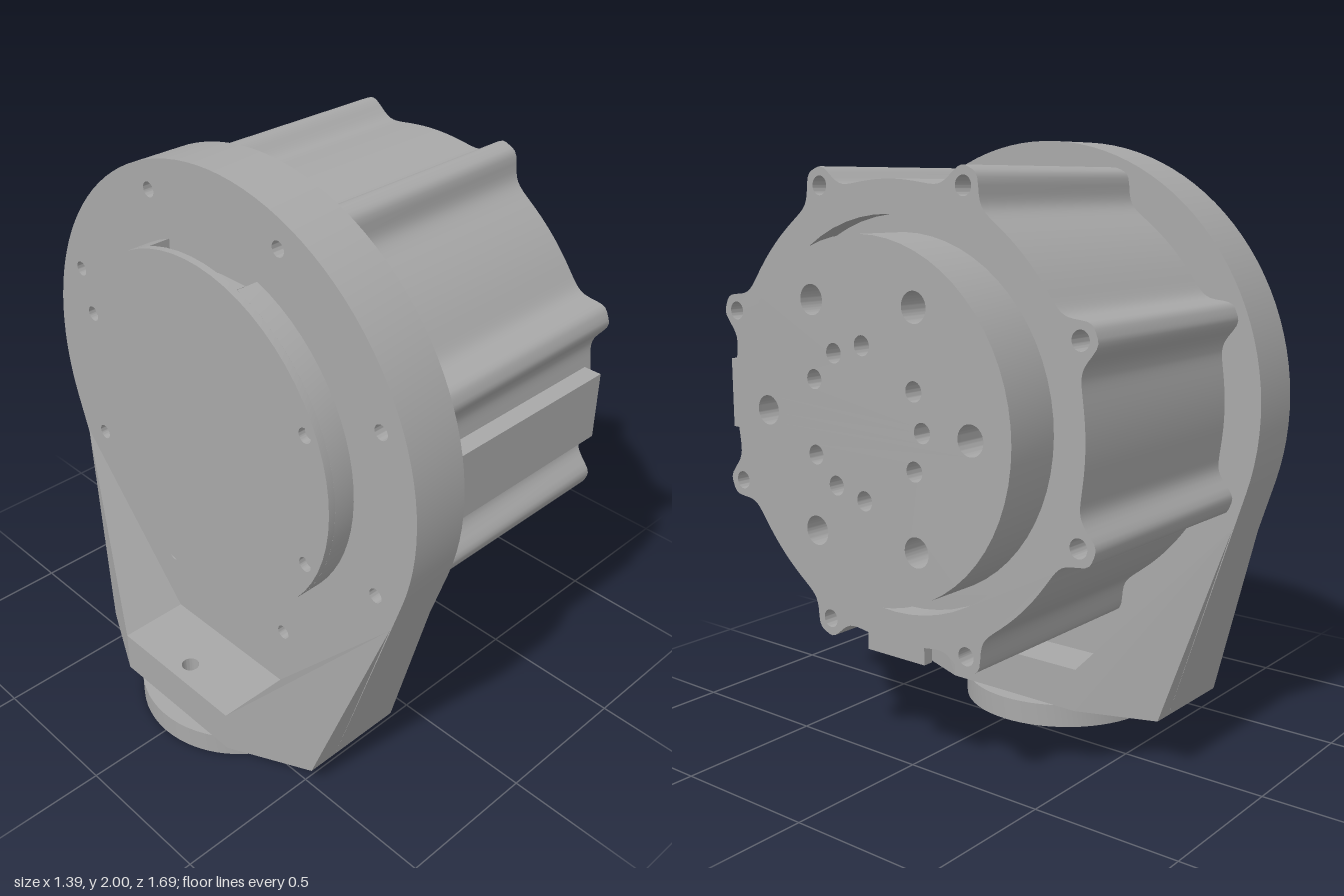
import * as THREE from 'three';
import { toCreasedNormals } from 'three/addons/utils/BufferGeometryUtils.js';
import { ConvexGeometry } from 'three/addons/geometries/ConvexGeometry.js';

const AXIS_Y = 1.155; // height of the motor axis, which runs along x
const rad = THREE.MathUtils.degToRad;

const circlePath = (x, y, r) => new THREE.Path().absarc(x, y, r, 0, Math.PI * 2, true);
function disc(r) {
  const s = new THREE.Shape();
  s.absarc(0, 0, r, 0, Math.PI * 2, false);
  return s;
}
// Ring of holes: angles in degrees
function addHoles(shape, ringRadius, r, angles) {
  for (const a of angles) {
    shape.holes.push(circlePath(ringRadius * Math.cos(rad(a)), ringRadius * Math.sin(rad(a)), r));
  }
  return shape;
}
const every = (n, start) => Array.from({ length: n }, (_, i) => start + (i * 360) / n);

export function createModel() {
  const model = new THREE.Group();
  const grey = new THREE.MeshStandardMaterial({ color: 0xa8a8a8 });
  grey.name = 'metal grey';

  const add = (name, geometry) => {
    const mesh = new THREE.Mesh(geometry, grey);
    mesh.name = name;
    model.add(mesh);
    return mesh;
  };
  const extrude = (shape, depth) => toCreasedNormals(
    new THREE.ExtrudeGeometry(shape, { depth, bevelEnabled: false, curveSegments: 32 }), 0.5);
  // Extrude along the motor axis from x0 to x1 (shape x becomes -z)
  const addAxial = (name, shape, x0, x1) => {
    const g = extrude(shape, x1 - x0);
    g.rotateY(Math.PI / 2);
    g.translate(x0, AXIS_Y, 0);
    return add(name, g);
  };
  // Extrude upwards from y0 to y1 (shape y becomes -z)
  const addUpright = (name, shape, x, y0, y1) => {
    const g = extrude(shape, y1 - y0);
    g.rotateX(-Math.PI / 2);
    g.translate(x, y0, 0);
    return add(name, g);
  };
  const addBox = (name, x0, x1, y0, y1, z0, z1) => {
    const g = new THREE.BoxGeometry(x1 - x0, y1 - y0, z1 - z0);
    g.translate((x0 + x1) / 2, (y0 + y1) / 2, (z0 + z1) / 2);
    return add(name, g);
  };

  const bossAngles = every(8, 22.5);

  // Mounting plate: round head with tangent sides running down to the foot
  const plate = new THREE.Shape();
  plate.moveTo(-0.54, 0.08 - AXIS_Y);
  plate.lineTo(0.54, 0.08 - AXIS_Y);
  plate.absarc(0, 0, 0.845, rad(-17.9), rad(197.9), false);
  plate.closePath();
  addHoles(plate, 0.755, 0.025, bossAngles);
  addAxial('mountingPlate', plate, -0.4, -0.2);

  // Foot block between the gussets, with a through hole
  const block = new THREE.Shape();
  block.moveTo(-0.645, -0.27);
  block.lineTo(-0.03, -0.27);
  block.lineTo(-0.03, 0.27);
  block.lineTo(-0.645, 0.27);
  block.closePath();
  block.holes.push(circlePath(-0.575, 0, 0.03));
  addUpright('footBlock', block, 0, 0.08, 0.23);

  // Four sloping gussets from the plate out to the foot
  const gussets = [
    { plateX: -0.4, cornerX: -0.51, endX: -0.645, name: 'backGusset' },
    { plateX: -0.2, cornerX: -0.13, endX: -0.03, name: 'frontGusset' },
  ];
  for (const { plateX, cornerX, endX, name } of gussets) {
    for (const s of [1, -1]) {
      add(name, new ConvexGeometry([
        [plateX, 0.77, 0.76], [endX, 0.23, 0.27], [endX, 0.08, 0.27], [cornerX, 0.08, 0.54],
        [plateX, 0.08, 0.54], [plateX, 0.23, 0.27], [plateX, 0.08, 0.27],
      ].map(([x, y, z]) => new THREE.Vector3(x, y, z * s))));
    }
  }

  // Round foot flange with three groups of three holes
  const foot = disc(0.36);
  const footAngles = [];
  for (const start of [180, 300, 420]) {
    for (let i = 0; i < 3; i++) footAngles.push(start + i * 28);
  }
  addHoles(foot, 0.235, 0.03, footAngles);
  addUpright('footFlange', foot, -0.34, 0, 0.08);

  // Housing: cylinder with eight filleted screw bosses, hollow at the front
  const outline = [];
  const steps = 384;
  for (let i = 0; i < steps; i++) {
    const deg = (i * 360) / steps;
    const offset = ((deg % 45) - 22.5) * Math.PI / 180 * 0.755;
    const r = 0.717 + 0.093 / (1 + Math.pow(offset / 0.058, 4));
    outline.push(new THREE.Vector2(r * Math.cos(rad(deg)), r * Math.sin(rad(deg))));
  }
  const housing = new THREE.Shape(outline);
  addHoles(housing, 0.755, 0.03, bossAngles);
  housing.holes.push(circlePath(0, 0, 0.615));
  addAxial('housing', housing, -0.2, 0.57);
  addAxial('housingFloor', disc(0.616), 0.42, 0.5);

  // Raised pad on the front side and lug beneath
  addBox('sidePad', -0.2, 0.54, 1.04, 1.275, 0.68, 0.77);
  addBox('bottomLug', 0.535, 0.57, 0.39, 0.47, -0.12, 0.12);

  // Output flange with its bolt circles
  const output = disc(0.56);
  addHoles(output, 0.415, 0.047, every(6, 0));
  addHoles(output, 0.235, 0.031, [...every(6, 30), 0, 120, 240]);
  addAxial('outputFlange', output, 0.5, 0.695);

  // Rear cover: face with four screw holes, rim with a connector pocket at the top
  const face = disc(0.6);
  for (const z of [-0.5, 0.5]) {
    for (const y of [-0.23, 0.23]) face.holes.push(circlePath(z, y, 0.025));
  }
  addAxial('coverFace', face, -0.5, -0.475);
  const rim = new THREE.Shape();
  const a = Math.acos(0.2 / 0.6);
  rim.moveTo(0.2, 0.46);
  rim.lineTo(-0.2, 0.46);
  rim.absarc(0, 0, 0.6, Math.PI - a, Math.PI * 2 + a, false);
  rim.closePath();
  addAxial('coverRim', rim, -0.475, -0.4);

  // Connectors in the pocket
  for (const z of [-0.11, 0.1]) {
    addBox('connector', -0.475, -0.41, AXIS_Y + 0.45, AXIS_Y + 0.54, z - 0.06, z + 0.06);
  }
  return model;
}
